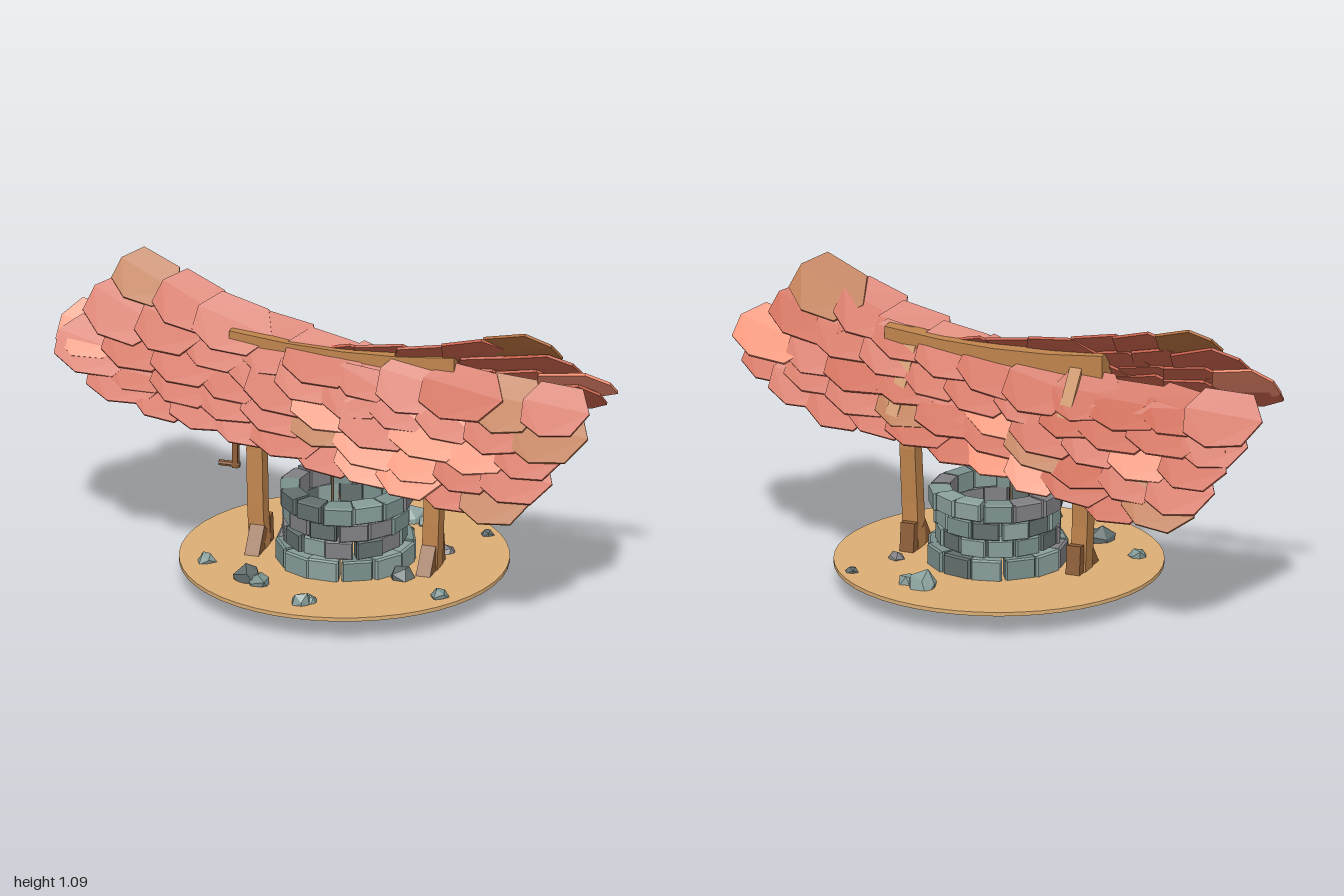
import * as THREE from 'three';

const mat = (color) => new THREE.MeshStandardMaterial({ color, flatShading: true });
const WOOD = mat(0xc0854d), DARK_WOOD = mat(0x8f5f38), GROUND = mat(0xdcae74), ROPE = mat(0x8c7a60);
const STONES = [0x869d99, 0x7b918e, 0x808084, 0x626f6e, 0x8ca19d].map(mat);
const RED = mat(0xc8624b), SALMON = mat(0xf58d6f), BROWN = mat(0xb56f3e);

let seed = 1;
const rnd = () => (seed = (seed * 16807) % 2147483647) / 2147483647;
const spread = (a) => (rnd() * 2 - 1) * a;
const pick = (list) => list[Math.floor(rnd() * list.length)];

function add(parent, name, geometry, material, x = 0, y = 0, z = 0) {
  const mesh = new THREE.Mesh(geometry, material);
  mesh.name = name;
  mesh.position.set(x, y, z);
  parent.add(mesh);
  return mesh;
}

// Move every vertex by a rule
function warp(geometry, rule) {
  const p = geometry.attributes.position, v = new THREE.Vector3();
  for (let i = 0; i < p.count; i++) {
    rule(v.fromBufferAttribute(p, i));
    p.setXYZ(i, v.x, v.y, v.z);
  }
  geometry.computeVertexNormals();
  return geometry;
}

// Straight timber or rod between two points
function between(parent, name, a, b, geometryFor, material) {
  const p = new THREE.Vector3(...a), q = new THREE.Vector3(...b);
  const mesh = add(parent, name, geometryFor(p.distanceTo(q)), material);
  mesh.position.copy(p).add(q).multiplyScalar(0.5);
  mesh.quaternion.setFromUnitVectors(new THREE.Vector3(0, 1, 0), q.sub(p).normalize());
}
const timber = (w, d) => (len) => new THREE.BoxGeometry(w, len, d);
const rod = (r, sides = 8) => (len) => new THREE.CylinderGeometry(r, r, len, sides);

// Wall block: a box wrapped round the well, with a chamfered outer face
function stoneGeometry(a0, da, y, h, radius) {
  return warp(new THREE.BoxGeometry(1, 1, 1, 3, 3, 1), (v) => {
    const edge = Math.abs(v.x) > 0.4 || Math.abs(v.y) > 0.4;
    const u = Math.abs(v.x) < 0.4 ? Math.sign(v.x) * 0.44 : v.x;
    const w = Math.abs(v.y) < 0.4 ? Math.sign(v.y) * 0.43 : v.y;
    const r = v.z > 0 ? radius - (edge ? 0.008 : 0) : 0.165;
    const a = a0 + u * da;
    v.set(r * Math.sin(a), y + w * h, r * Math.cos(a));
  });
}

function wellWall() {
  const wall = new THREE.Group();
  wall.name = 'wellWall';
  wall.position.x = 0.045;
  const courses = [[0.122, 0.08, 0.248], [0.192, 0.066, 0.216], [0.26, 0.066, 0.222], [0.326, 0.066, 0.236]];
  courses.forEach(([y, h, r], row) => {
    const n = 13, step = (Math.PI * 2) / n;
    for (let i = 0; i < n; i++) {
      const g = stoneGeometry((i + row * 0.45) * step + spread(0.03), step * (0.95 + spread(0.04)), y + spread(0.003), h, r + spread(0.006));
      add(wall, 'wallStone', g, pick(STONES));
    }
  });
  return wall;
}

// One roof tile: a thin bowed slab, pointed at the sides
function tileGeometry() {
  const s = new THREE.Shape([[-0.08, 0.1], [0.09, 0.1], [0.14, 0.01], [0.09, -0.09], [-0.03, -0.115], [-0.12, -0.07], [-0.135, 0.02]]
    .map(([x, y]) => new THREE.Vector2(x, y)));
  return warp(new THREE.ExtrudeGeometry(s, { depth: 0.01, bevelEnabled: false }), (v) => {
    v.z -= 0.5 * v.x * v.x;
  });
}

// Tilted slope of overlapping rows; its rows run askew so one end rises past the ridge
function roofSlope(name) {
  const slope = new THREE.Group();
  slope.name = name;
  slope.rotation.x = -0.695;
  const tile = tileGeometry();
  // Left end, right end, height, and upward sweep of the left and right halves of each row
  const rows = [
    [-0.84, 0.97, -0.075, 0.17, 0.13], [-0.89, 0.96, -0.142, 0.05, 0.1], [-1, 0.91, -0.213, 0, 0.06],
    [-0.97, 0.88, -0.283, 0, 0.03], [-0.84, 0.82, -0.35, 0, 0]];
  rows.forEach(([left, right, y0, sweepLeft, sweepRight], r) => {
    const n = 10, a = left + 0.13, b = right - 0.13;
    for (let i = 0; i < n; i++) {
      const x = a + ((b - a) * i) / (n - 1);
      const sweep = x < 0 ? sweepLeft : sweepRight;
      const brown = (r === 0 && i === 0) || (r === 4 && i === n - 1) || rnd() < 0.05;
      const bright = (r === 2 && i === 0) || (r > 1 && x > 0 && x < 0.6 && rnd() < 0.55);
      const m = add(slope, 'roofTile', tile, brown ? BROWN : bright ? SALMON : RED,
        x, y0 + sweep * x * x - 0.185 * x + spread(0.01), 0.016 - r * 0.003 + spread(0.007));
      m.rotation.set(-0.1 + spread(0.05), 0.06 + spread(0.06), -0.19 + 1.5 * sweep * x + spread(0.14));
      m.scale.set(1 + spread(0.12), 1 + spread(0.1), 1);
    }
  });
  return slope;
}

// Upright post, slightly bowed along its height
function post(x, lean) {
  const frame = new THREE.Group();
  frame.name = x < 0 ? 'rightFrame' : 'leftFrame';
  const h = 0.8, bow = [0, lean * 0.6, lean, lean * 0.3, -lean], sway = [0.006, 0.004, -0.006, 0.002, 0];
  const g = warp(new THREE.BoxGeometry(0.058, h, 0.064, 1, 4, 1), (v) => {
    const k = Math.round((v.y / h + 0.5) * 4);
    v.x += bow[k];
    v.z += sway[k];
  });
  add(frame, 'post', g, WOOD, x, 0.055 + h / 2, 0);
  // Foot braces: a leaning one in front, an upright block behind
  between(frame, 'footBrace', [x, 0.055, 0.1], [x, 0.165, 0.02], timber(0.052, 0.05), DARK_WOOD);
  between(frame, 'footBlock', [x, 0.05, -0.055], [x, 0.19, -0.04], timber(0.052, 0.036), DARK_WOOD);
  // Rafters down each slope, with struts back to the post
  for (const s of [1, -1]) {
    between(frame, 'rafter', [x, 0.83, s * 0.025], [x, 0.615, s * 0.197], timber(0.045, 0.038), WOOD);
    between(frame, 'strut', [x, 0.63, s * 0.015], [x, 0.71, s * 0.115], timber(0.035, 0.032), WOOD);
  }
  return frame;
}

// Axle with rope coil, hanging rope and crank
function windlass() {
  const w = new THREE.Group();
  w.name = 'windlass';
  const y = 0.48, z = -0.01;
  between(w, 'axle', [-0.37, y - 0.015, z], [0.39, y, z], rod(0.016), WOOD);
  between(w, 'axleHub', [0.375, y, z], [0.4, y, z], rod(0.026), DARK_WOOD);
  between(w, 'crankArm', [-0.36, y, z], [-0.36, 0.365, z], timber(0.02, 0.026), DARK_WOOD);
  between(w, 'crankHandle', [-0.345, 0.375, z], [-0.42, 0.375, z], rod(0.011), DARK_WOOD);
  const turns = 8, coil = [];
  for (let i = 0; i <= turns * 10; i++) {
    const a = (i / 10) * Math.PI * 2;
    coil.push(new THREE.Vector3((i / (turns * 10)) * 0.125, y + 0.018 * Math.cos(a), z + 0.018 * Math.sin(a)));
  }
  add(w, 'ropeCoil', new THREE.TubeGeometry(new THREE.CatmullRomCurve3(coil), 120, 0.007, 5), ROPE);
  between(w, 'hangingRope', [0, y, 0.012], [0, 0.05, 0.012], rod(0.005, 6), ROPE);
  return w;
}

function rocks() {
  const group = new THREE.Group();
  group.name = 'rocks';
  const spots = [[0.165, 0.09, -0.38, 0.055], [0.23, 0.09, -0.36, 0.036], [0.455, 0.087, -0.33, 0.023],
    [0.47, 0.09, 0.26, 0.035], [0.29, 0.085, 0.13, 0.045], [0.01, 0.055, 0.22, 0.05], [-0.21, 0.09, 0.31, 0.052],
    [-0.16, 0.085, 0.335, 0.045], [0.37, 0.085, -0.14, 0.03], [-0.4, 0.09, 0.2, 0.034], [0.035, 0.095, 0.465, 0.036], [0.05, 0.085, 0.44, 0.034]];
  for (const [x, y, z, r] of spots) {
    // Neighbouring faces share corners, so the jitter depends on position only
    const k = rnd() * 9;
    const g = warp(new THREE.IcosahedronGeometry(r, 0), (v) => {
      const t = v.clone().divideScalar(r);
      v.multiplyScalar(1 + 0.17 * Math.sin(k + t.x * 5 + t.y * 3 + t.z * 7));
    });
    add(group, 'rock', g, pick(STONES), x, y, z).rotation.set(rnd() * 3, rnd() * 3, 0);
  }
  return group;
}

export function createModel() {
  seed = 4711;
  const model = new THREE.Group();
  model.name = 'well';

  add(model, 'groundDisc', new THREE.CylinderGeometry(0.575, 0.575, 0.014, 48), GROUND, 0.04, 0.082, 0);
  model.add(wellWall(), rocks(), windlass(), post(-0.265, -0.016), post(0.36, 0.01));

  // Sagging ridge beam
  const ridge = warp(new THREE.BoxGeometry(0.82, 0.085, 0.088, 4, 1, 1), (v) => {
    v.y += 0.16 * v.x * v.x - 0.014;
  });
  add(model, 'ridgeBeam', ridge, WOOD, 0.045, 0.842, 0.004);

  // Two slopes, the back one turned half round
  const front = roofSlope('frontRoof');
  front.position.y = 0.878;
  const back = new THREE.Group();
  back.name = 'backRoof';
  back.add(roofSlope('backRoofTiles'));
  back.rotation.y = Math.PI;
  back.position.y = 0.85;
  model.add(front, back);
  return model;
}
